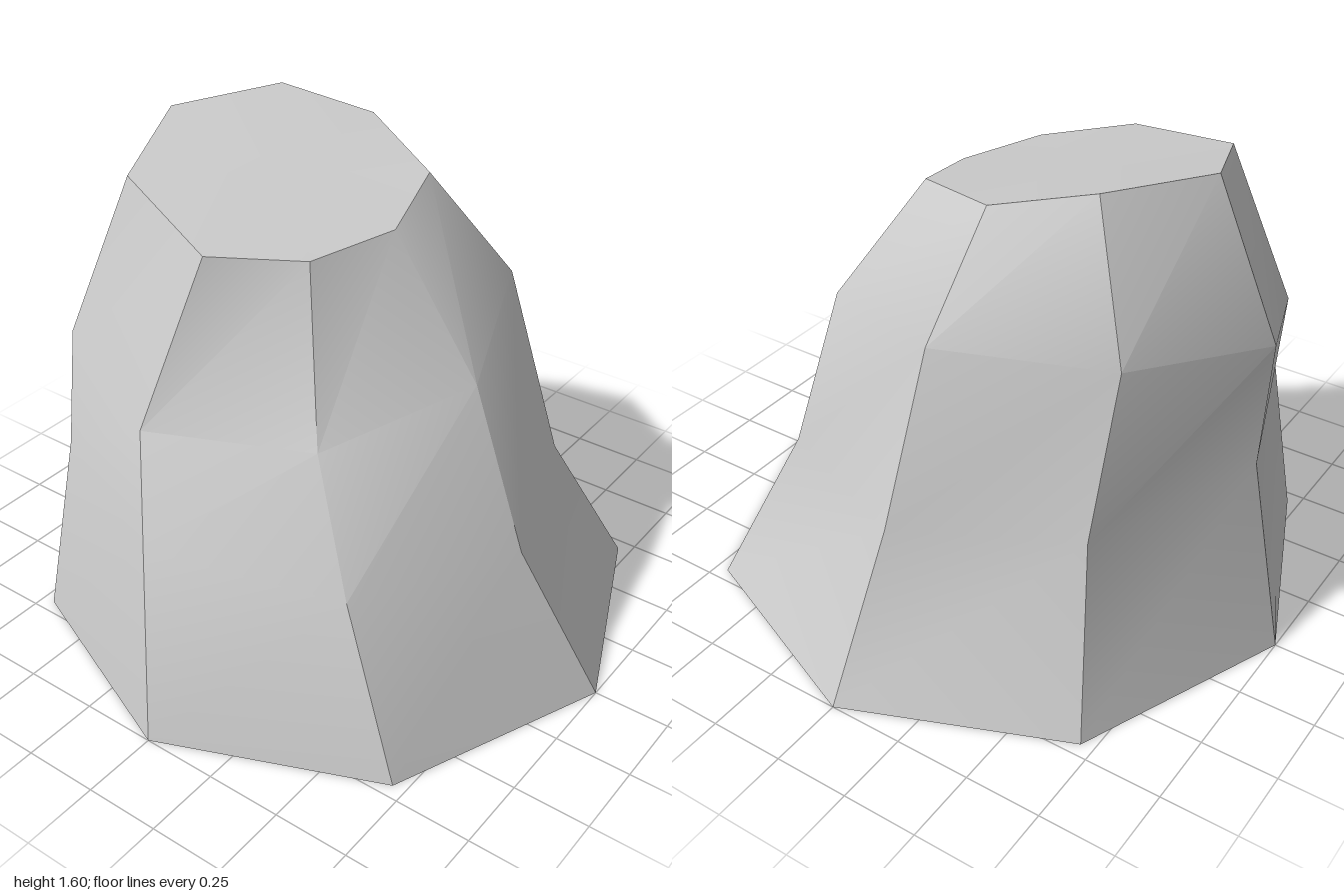
import * as THREE from 'three';
import { toCreasedNormals } from 'three/addons/utils/BufferGeometryUtils.js';

// Eight ribs, starting at the front and turning towards +x.
// Each rib runs from the base to the top as [x, y, z].
const RIBS = [
  [[0, 0, 1], [-0.09, 0.5, 0.745], [-0.02, 0.98, 0.515], [0, 1.395, 0.195]],
  [[0.707, 0, 0.707], [0.49, 0.49, 0.53], [0.475, 1.1, 0.33], [0.285, 1.46, 0.125]],
  [[1, 0, 0], [0.745, 0.53, -0.03], [0.69, 1.19, -0.165], [0.44, 1.53, -0.2]],
  [[0.707, 0, -0.707], [0.53, 0.595, -0.605], [0.5, 1.19, -0.675], [0.33, 1.6, -0.49]],
  [[0, 0, -1], [-0.03, 0.64, -0.86], [0.01, 1.1, -0.9], [0, 1.58, -0.68]],
  [[-0.707, 0, -0.707], [-0.605, 0.63, -0.645], [-0.48, 0.96, -0.72], [-0.355, 1.5, -0.545]],
  [[-1, 0, 0], [-0.865, 0.61, -0.09], [-0.705, 0.89, -0.225], [-0.495, 1.41, -0.13]],
  [[-0.707, 0, 0.707], [-0.65, 0.55, 0.495], [-0.5, 0.9, 0.28], [-0.3, 1.385, 0.105]],
];

function rockGeometry() {
  const sides = RIBS.length;
  const top = RIBS[0].length - 1;
  const positions = [];
  const triangle = (a, b, c) => positions.push(...a, ...b, ...c);
  const ringCentre = (level) =>
    [0, 1, 2].map((axis) => RIBS.reduce((sum, rib) => sum + rib[level][axis], 0) / sides);
  const baseCentre = ringCentre(0);
  const topCentre = ringCentre(top);

  for (let k = 0; k < sides; k++) {
    const rib = RIBS[k];
    const next = RIBS[(k + 1) % sides];
    // side wall between two ribs
    for (let l = 0; l < top; l++) {
      triangle(rib[l], next[l], next[l + 1]);
      triangle(rib[l], next[l + 1], rib[l + 1]);
    }
    // sloping top and flat underside
    triangle(topCentre, rib[top], next[top]);
    triangle(baseCentre, next[0], rib[0]);
  }

  const geometry = new THREE.BufferGeometry();
  geometry.setAttribute('position', new THREE.Float32BufferAttribute(positions, 3));
  return toCreasedNormals(geometry, THREE.MathUtils.degToRad(30));
}

export function createModel() {
  const group = new THREE.Group();
  group.name = 'boulder';
  const rock = new THREE.Mesh(rockGeometry(), new THREE.MeshStandardMaterial({ color: 0xcccccc }));
  rock.name = 'rock';
  group.add(rock);
  return group;
}
